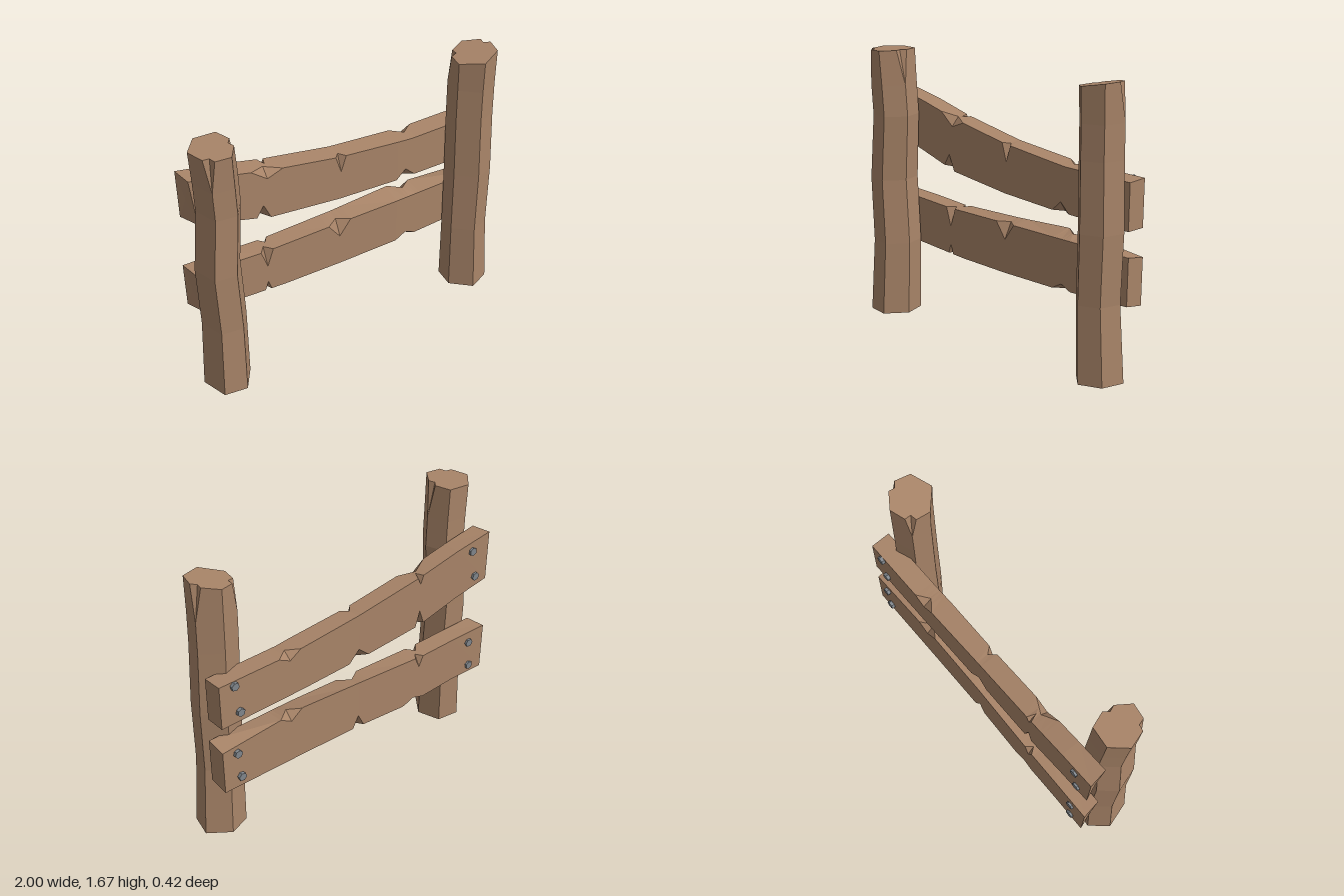
import * as THREE from 'three';

const wood = new THREE.MeshStandardMaterial({ color: 0xa88468, flatShading: true });
const metal = new THREE.MeshStandardMaterial({ color: 0x80868c, flatShading: true });

// Skin a list of equal-length rings and cap both ends
function loft(rings) {
  const pos = [];
  const ab = new THREE.Vector3(), ac = new THREE.Vector3();
  const tri = (a, b, c) => {
    ab.subVectors(b, a).cross(ac.subVectors(c, a));
    if (ab.length() > 1e-7) pos.push(...a, ...b, ...c);
  };
  const n = rings[0].length;
  const centre = (r) => r.reduce((s, p) => s.add(p), new THREE.Vector3()).divideScalar(n);
  const last = rings[rings.length - 1];
  const c0 = centre(rings[0]), c1 = centre(last);
  for (let j = 0; j < n; j++) {
    const k = (j + 1) % n;
    for (let i = 0; i < rings.length - 1; i++) {
      const r = rings[i], s = rings[i + 1];
      tri(r[j], r[k], s[k]);
      tri(r[j], s[k], s[j]);
    }
    tri(c0, rings[0][k], rings[0][j]);
    tri(c1, last[j], last[k]);
  }
  const g = new THREE.BufferGeometry();
  g.setAttribute('position', new THREE.Float32BufferAttribute(pos, 3));
  g.computeVertexNormals();
  return g;
}

// Six-sided post: levels are [y, shift x, shift z, scale]; chipped corners split open at the top
function post(name, section, centre, levels, chipped, slope) {
  const rings = levels.map(([y, dx, dz, s], i) => {
    const top = i === levels.length - 1;
    const place = ([x, z]) => {
      const px = centre[0] + (x - centre[0]) * s + dx;
      const pz = centre[1] + (z - centre[1]) * s + dz;
      return new THREE.Vector3(px, y + (top ? slope * (px - centre[0]) : 0), pz);
    };
    const pts = section.map(place), mid = place(centre);
    return pts.flatMap((p, j) => {
      if (!chipped.includes(j)) return [p];
      if (!top) return [p, p, p];
      const prev = pts[(j + 5) % 6], next = pts[(j + 1) % 6];
      return [p.clone().lerp(prev, 0.28), p.clone().lerp(mid, 0.3), p.clone().lerp(next, 0.28)];
    });
  });
  const m = new THREE.Mesh(loft(rings), wood);
  m.name = name;
  return m;
}

// Piecewise linear lookup in [[x, value], ...]
function sample(line, x) {
  let i = 1;
  while (i < line.length - 1 && x > line[i][0]) i++;
  const [a, b] = [line[i - 1], line[i]];
  return THREE.MathUtils.lerp(a[1], b[1], (x - a[0]) / (b[0] - a[0]));
}

const frontZ = [[-0.97, -0.08], [0, -0.068], [0.4, -0.062], [0.97, -0.07]];
const backZ = [[-0.97, -0.2], [0, -0.185], [0.97, -0.193]];

// Edge order: top front, bottom front, bottom back, top back.
// Chips are [edge, x, width, depth in y, depth in z].
function plank(name, edges, chips, leftEnd, rightEnd) {
  const xs = new Set([-0.97, 0.97]);
  edges.forEach((e) => e.forEach(([x]) => xs.add(x)));
  chips.forEach(([, x, w]) => [x - w / 2, x, x + w / 2].forEach((v) => xs.add(v)));
  const sorted = [...xs].sort((a, b) => a - b);
  const rings = sorted.map((x, i) => edges.flatMap((line, e) => {
    const z = sample(e === 0 || e === 1 ? frontZ : backZ, x);
    const y = sample(line, x);
    const px = i === 0 ? leftEnd[e] : i === sorted.length - 1 ? rightEnd[e] : x;
    let dy = 0, dz = 0;
    for (const [edge, cx, w, cy, cz] of chips) {
      if (edge !== e) continue;
      const t = Math.max(0, 1 - Math.abs(x - cx) / (w / 2));
      dy = Math.max(dy, cy * t);
      dz = Math.max(dz, cz * t);
    }
    const onFace = new THREE.Vector3(px, y + (e === 0 || e === 3 ? -dy : dy), z);
    const onEdge = new THREE.Vector3(px, y, z + (e < 2 ? -dz : dz));
    return e % 2 === 0 ? [onEdge, onFace] : [onFace, onEdge];
  }));
  const m = new THREE.Mesh(loft(rings), wood);
  m.name = name;
  return m;
}

export function createModel() {
  const model = new THREE.Group();
  model.name = 'fence';

  // Posts
  model.add(post('rightPost',
    [[-1, 0.03], [-0.95, 0.19], [-0.81, 0.21], [-0.72, 0.08], [-0.77, -0.06], [-0.91, -0.075]],
    [-0.86, 0.065],
    [[0, 0, 0, 1], [0.45, 0.01, -0.012, 0.94], [0.85, -0.01, -0.01, 0.93],
      [1.25, 0.018, -0.01, 0.9], [1.44, 0.008, -0.005, 0.9], [1.65, -0.005, 0, 0.92]],
    [1, 3], 0.02));
  model.add(post('leftPost',
    [[0.725, 0.07], [0.84, 0.175], [0.97, 0.12], [1, -0.02], [0.87, -0.11], [0.74, -0.06]],
    [0.86, 0.03],
    [[0, 0, 0, 1], [0.45, -0.017, 0.005, 0.92], [0.85, -0.01, 0, 0.95],
      [1.25, -0.017, -0.003, 0.93], [1.45, -0.017, -0.003, 0.93], [1.655, -0.017, 0, 0.95]],
    [3, 5], 0.17));

  // Upper plank, sagging from right to left
  const upTop = [[-0.97, 1.375], [-0.73, 1.33], [-0.45, 1.262], [0, 1.182], [0.5, 1.13], [0.97, 1.125]];
  const upBottom = [[-0.97, 1.06], [-0.73, 1.01], [-0.45, 0.93], [0, 0.88], [0.4, 0.86], [0.97, 0.845]];
  model.add(plank('upperPlank',
    [upTop.map(([x, y]) => [x, y - 0.006]), upBottom, upBottom, upTop],
    [[0, -0.47, 0.2, 0.055, 0.05], [0, 0.01, 0.07, 0.105, 0.04],
      [1, -0.5, 0.09, 0.085, 0.05], [1, 0.46, 0.13, 0.06, 0.04],
      [2, 0, 0.14, 0.07, 0.05], [2, -0.45, 0.06, 0.1, 0.05],
      [3, 0.49, 0.15, 0.04, 0.055], [3, -0.45, 0.04, 0.05, 0.05]],
    [-0.95, -0.91, -0.96, -0.97], [0.97, 0.965, 0.96, 0.965]));

  // Lower plank
  model.add(plank('lowerPlank', [
    [[-0.97, 0.715], [-0.73, 0.705], [-0.5, 0.695], [0, 0.7], [0.4, 0.702], [0.97, 0.7]],
    [[-0.97, 0.43], [-0.73, 0.42], [-0.38, 0.4], [0, 0.395], [0.4, 0.4], [0.97, 0.42]],
    [[-0.97, 0.42], [-0.73, 0.415], [-0.38, 0.38], [0, 0.395], [0.4, 0.4], [0.97, 0.4]],
    [[-0.97, 0.715], [-0.73, 0.708], [-0.5, 0.695], [0, 0.712], [0.4, 0.732], [0.97, 0.68]],
  ], [[0, -0.49, 0.08, 0.115, 0.05], [0, 0, 0.15, 0.1, 0.05],
    [1, -0.49, 0.04, 0.06, 0.04], [1, 0.47, 0.14, 0.035, 0.05],
    [2, 0, 0.08, 0.08, 0.05], [2, -0.42, 0.16, 0.03, 0.06],
    [3, 0.49, 0.15, 0.05, 0.055], [3, -0.46, 0.06, 0.07, 0.04]],
  [-0.95, -0.92, -0.96, -0.97], [0.97, 0.965, 0.96, 0.965]));

  // Hexagonal bolts on the back
  const bolts = new THREE.Group();
  bolts.name = 'bolts';
  const boltShape = new THREE.CylinderGeometry(0.026, 0.026, 0.03, 6).rotateX(Math.PI / 2);
  [[-0.84, 1.29], [-0.87, 1.11], [0.87, 1.1], [0.84, 0.915],
    [-0.85, 0.64], [-0.86, 0.47], [0.87, 0.64], [0.85, 0.47]].forEach(([x, y], i) => {
    const bolt = new THREE.Mesh(boltShape, metal);
    bolt.name = 'bolt';
    bolt.position.set(x, y, -0.197);
    bolt.rotation.z = i * 0.4;
    bolts.add(bolt);
  });
  model.add(bolts);
  return model;
}
